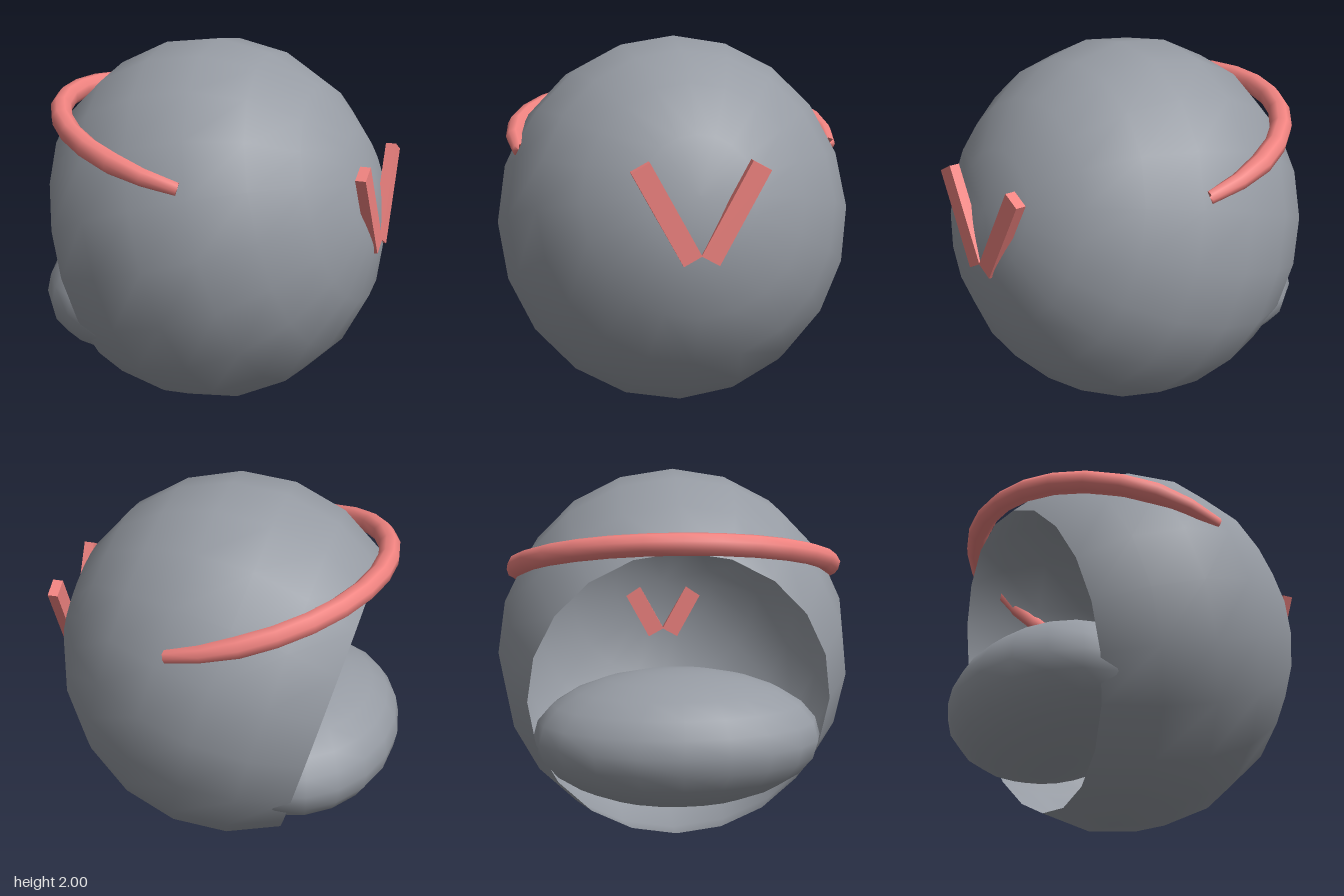
import * as THREE from 'three';

const rad = THREE.MathUtils.degToRad;

function addMesh(parent, name, geometry, material) {
  const mesh = new THREE.Mesh(geometry, material);
  mesh.name = name;
  parent.add(mesh);
  return mesh;
}

// Tube along a curve, slimmer toward both ends and closed with flat caps
function taperedTube(curve, segments, radius, sides) {
  const geo = new THREE.TubeGeometry(curve, segments, radius, sides, false);
  const pos = geo.attributes.position;
  const v = new THREE.Vector3();
  for (let i = 0; i <= segments; i++) {
    const own = curve.getPointAt(i / segments);
    const inner = THREE.MathUtils.clamp(i, 1, segments - 1);
    const centre = curve.getPointAt(inner / segments);
    const fromEnd = Math.min(i, segments - i);
    const k = fromEnd === 0 ? 0 : Math.min(1, 0.4 + 0.2 * fromEnd);
    for (let j = 0; j <= sides; j++) {
      const n = i * (sides + 1) + j;
      v.fromBufferAttribute(pos, n).sub(own).multiplyScalar(k).add(centre);
      pos.setXYZ(n, v.x, v.y, v.z);
    }
  }
  return geo;
}

export function createModel() {
  const model = new THREE.Group();
  model.name = 'helmet';
  const slate = new THREE.MeshStandardMaterial({ color: 0x969ba3 });
  const slateShell = new THREE.MeshStandardMaterial({ color: 0x969ba3, side: THREE.DoubleSide });
  const red = new THREE.MeshStandardMaterial({ color: 0xf08380 });

  // Everything is built facing +z, then turned toward the front corner
  const body = new THREE.Group();
  body.name = 'body';
  body.rotation.y = rad(40);
  model.add(body);

  // Hollow round shell with a circular opening at the lower back
  const shell = new THREE.SphereGeometry(0.957, 20, 7, 0, Math.PI * 2, 0, rad(125.5));
  shell.rotateX(rad(73.5));
  shell.scale(1, 1.045, 1);
  addMesh(body, 'shell', shell, slateShell).position.y = 1;

  // Flattened cushion filling the lower part of the opening
  const cushion = new THREE.SphereGeometry(1, 20, 12);
  cushion.scale(0.76, 0.36, 0.54);
  addMesh(body, 'cushion', cushion, slate).position.set(0, 0.61, -0.37);

  // Sloping band wrapped around the back
  const points = [];
  for (let i = 0; i <= 20; i++) {
    const a = rad(-24 + (228 * i) / 20);
    const back = 0.8 * Math.sin(a);
    points.push(new THREE.Vector3(0.855 * Math.cos(a), 1.455 + 0.255 * back, -back));
  }
  const band = taperedTube(new THREE.CatmullRomCurve3(points), 18, 0.058, 8);
  addMesh(body, 'band', band, red);

  // Two bars forming a chevron on the front
  const up = new THREE.Vector3(0, 1, 0);
  for (const side of [-1, 1]) {
    const low = new THREE.Vector3(side * 0.043, 0.97, 0.935);
    const high = new THREE.Vector3(side * 0.295, 1.43, 0.925);
    const dir = high.clone().sub(low);
    const geo = new THREE.BoxGeometry(0.103, dir.length(), 0.055);
    const bar = addMesh(body, side > 0 ? 'leftChevronBar' : 'rightChevronBar', geo, red);
    bar.position.copy(low).add(high).multiplyScalar(0.5);
    bar.quaternion.setFromUnitVectors(up, dir.normalize());
  }

  return model;
}
